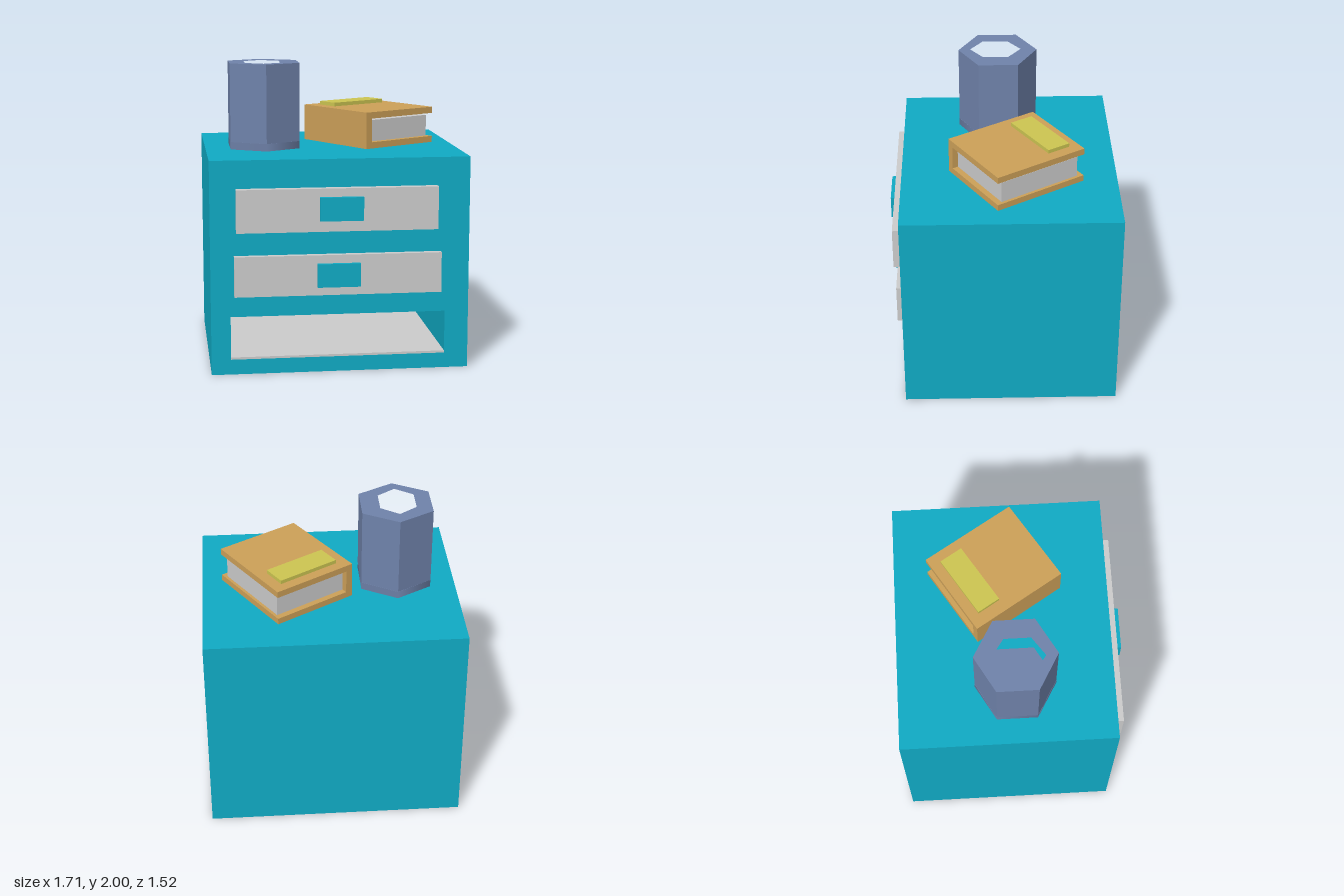
import * as THREE from 'three';

const material = (color) => new THREE.MeshStandardMaterial({ color });
const TEAL = material(0x10aac4), GREY = material(0xcccccc), LEATHER = material(0xcca058);
const SLATE = material(0x6f82aa), YELLOW = material(0xccc551);

function add(parent, name, geometry, mat) {
  const mesh = new THREE.Mesh(geometry, mat);
  mesh.name = name;
  parent.add(mesh);
  return mesh;
}

// Box given by its extents on each axis
function box(parent, name, mat, [x0, x1], [y0, y1], [z0, z1]) {
  const mesh = add(parent, name, new THREE.BoxGeometry(x1 - x0, y1 - y0, z1 - z0), mat);
  mesh.position.set((x0 + x1) / 2, (y0 + y1) / 2, (z0 + z1) / 2);
  return mesh;
}

const rectangle = (x0, x1, y0, y1) => [[x0, y0], [x1, y0], [x1, y1], [x0, y1]]
  .map(([x, y]) => new THREE.Vector2(x, y));

// Hexagon with corners on the vertical axis
const hexagon = (cx, cy, rx, ry) => Array.from({ length: 6 }, (_, i) => {
  const a = (i * Math.PI) / 3;
  return new THREE.Vector2(cx + rx * Math.sin(a), cy + ry * Math.cos(a));
});

function extrude(outline, hole, depth) {
  const shape = new THREE.Shape(outline);
  shape.holes.push(new THREE.Path(hole));
  return new THREE.ExtrudeGeometry(shape, { depth, bevelEnabled: false });
}

function createCabinet() {
  const cabinet = new THREE.Group();
  cabinet.name = 'cabinet';

  // Body with an open bay at the bottom, closed by a back panel
  const body = add(cabinet, 'body',
    extrude(rectangle(-0.853, 0.853, 0, 1.42), rectangle(-0.725, 0.695, 0.1, 0.388), 1.335), TEAL);
  body.position.z = -0.66;
  box(cabinet, 'backPanel', TEAL, [-0.853, 0.853], [0, 1.42], [-0.76, -0.66]);
  box(cabinet, 'bayFloor', GREY, [-0.725, 0.695], [0.1, 0.115], [-0.66, 0.674]);

  // Two drawers standing slightly proud, each with a block handle
  const drawers = [
    { name: 'topDrawer', x: [-0.685, 0.635], y: [0.952, 1.235], z: 0.73, hx: [-0.145, 0.14], hy: [1.025, 1.18], hz: 0.76 },
    { name: 'middleDrawer', x: [-0.7, 0.662], y: [0.528, 0.795], z: 0.718, hx: [-0.16, 0.122], hy: [0.585, 0.74], hz: 0.746 },
  ];
  for (const d of drawers) {
    const drawer = new THREE.Group();
    drawer.name = d.name;
    box(drawer, 'drawerFront', GREY, d.x, d.y, [0.6, d.z]);
    box(drawer, 'handle', TEAL, d.hx, d.hy, [d.z, d.hz]);
    cabinet.add(drawer);
  }
  return cabinet;
}

// Hollow six-sided pot
function createPot() {
  const pot = new THREE.Group();
  pot.name = 'pot';
  const wall = extrude(hexagon(0, 0, 0.271, 0.268), hexagon(-0.01, -0.015, 0.139, 0.173), 0.53);
  add(pot, 'wall', wall.rotateX(-Math.PI / 2), SLATE).position.y = 0.05;
  const base = new THREE.CylinderGeometry(0.27, 0.27, 0.05, 6);
  add(pot, 'base', base, SLATE).position.y = 0.025;
  pot.position.set(-0.45, 1.42, 0.018);
  return pot;
}

// Book lying flat, spine on its left edge, with a label on the cover
function createBook() {
  const book = new THREE.Group();
  book.name = 'book';
  const width = [-0.298, 0.298], length = [-0.337, 0.337];
  box(book, 'bottomCover', LEATHER, width, [0, 0.042], length);
  box(book, 'topCover', LEATHER, width, [0.202, 0.245], length);
  box(book, 'spine', LEATHER, [-0.298, -0.25], [0.042, 0.202], length);
  box(book, 'pages', GREY, [-0.26, 0.278], [0.042, 0.186], [-0.296, 0.296]);
  box(book, 'label', YELLOW, [-0.215, 0.223], [0.245, 0.27], [-0.268, -0.104]);
  book.position.set(0.2875, 1.435, -0.087);
  book.rotation.y = 0.558;
  return book;
}

export function createModel() {
  const model = new THREE.Group();
  model.name = 'bedsideCabinet';
  model.add(createCabinet(), createPot(), createBook());
  return model;
}
